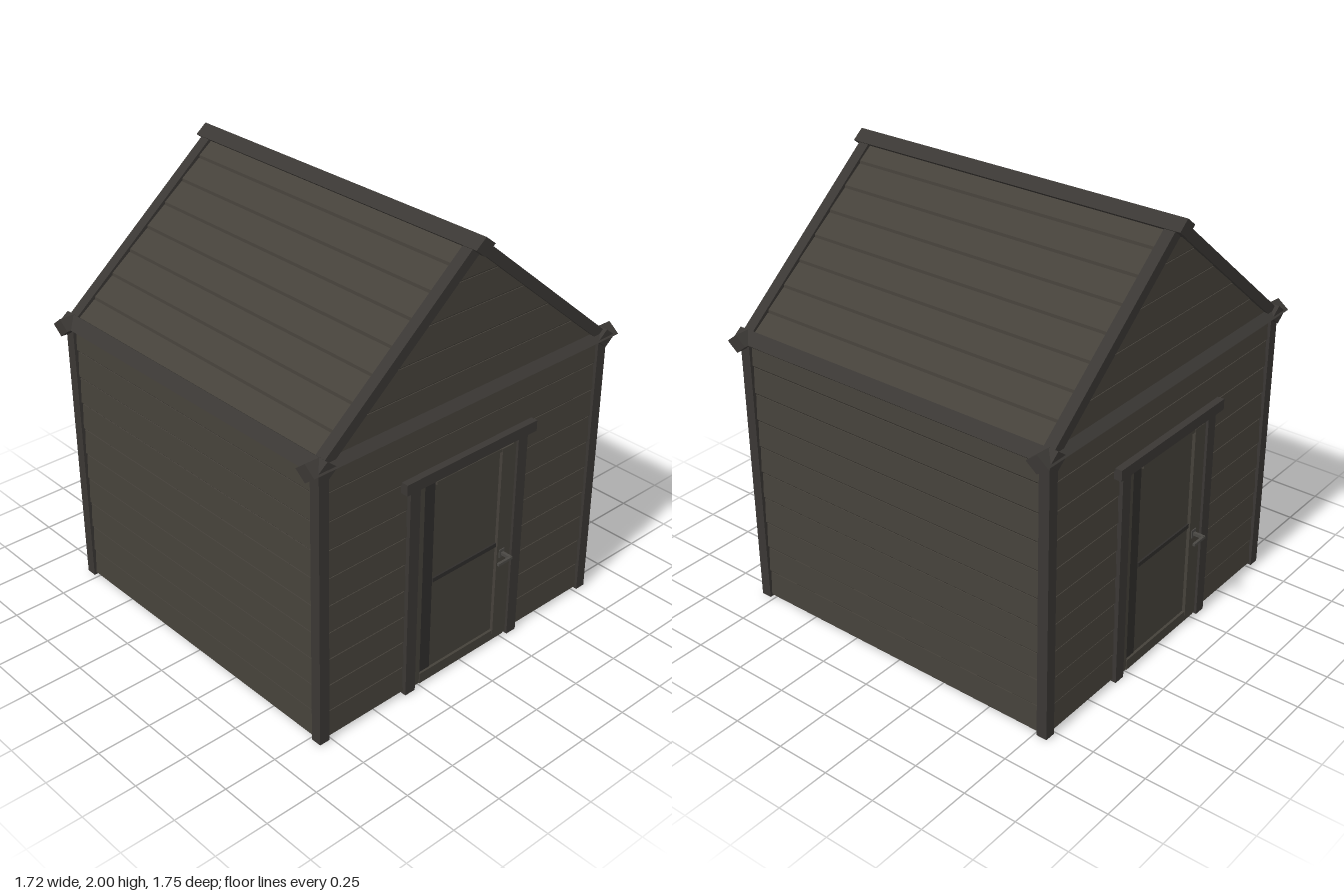
import * as THREE from 'three';

const mat = (color) => new THREE.MeshStandardMaterial({ color, flatShading: true, side: THREE.DoubleSide });
const PLANK = mat(0x45413a), BEAM = mat(0x3a3734), DARK = mat(0x2f2d2b), METAL = mat(0x4a4844);

const S = 0.79;            // half spacing of the corner posts
const EAVE = 1.305, APEX = 1.96;
const STEP = 0.13;         // board height
const RUN = Math.hypot(S, APEX - EAVE);
const SLOPE = Math.atan2(APEX - EAVE, S);

function mesh(parent, name, geometry, material) {
  const m = new THREE.Mesh(geometry, material);
  m.name = name;
  parent.add(m);
  return m;
}

// Box given by its limits
function box(parent, name, x0, x1, y0, y1, z0, z1, material = BEAM) {
  const m = mesh(parent, name, new THREE.BoxGeometry(x1 - x0, y1 - y0, z1 - z0), material);
  m.position.set((x0 + x1) / 2, (y0 + y1) / 2, (z0 + z1) / 2);
  return m;
}

// Lapped board with bevelled lower edge; left(y) and right(y) give its ends
function board(parent, name, y0, y1, left, right) {
  const b = 0.011;
  const shape = new THREE.Shape([
    [-0.004, y0], [0.004, y0], [0.014, y0 + b], [0.008, y1], [-0.008, y1], [-0.014, y0 + b],
  ].map(([u, v]) => new THREE.Vector2(u, v)));
  const g = new THREE.ExtrudeGeometry(shape, { depth: 1, bevelEnabled: false });
  g.rotateY(Math.PI / 2); // length now runs along x from 0 to 1
  const p = g.attributes.position;
  for (let i = 0; i < p.count; i++) {
    const y = p.getY(i);
    p.setX(i, p.getX(i) > 0.5 ? right(y) : left(y));
  }
  g.computeVertexNormals();
  return mesh(parent, name, g, PLANK);
}

// Square beam set on edge, running along x
function diamondBeam(parent, name, half) {
  const w = 0.052, h = 0.041;
  const shape = new THREE.Shape();
  shape.moveTo(w, 0).lineTo(0, h).lineTo(-w, 0).lineTo(0, -h).closePath();
  const g = new THREE.ExtrudeGeometry(shape, { depth: half * 2, bevelEnabled: false });
  g.translate(0, 0, -half).rotateY(Math.PI / 2);
  return mesh(parent, name, g, BEAM);
}

function handle(parent, side) {
  const h = new THREE.Group();
  h.name = 'doorHandle';
  box(h, 'handlePlate', 0.207, 0.238, 0.443, 0.482, 0.013, 0.02, METAL);
  box(h, 'handleStem', 0.216, 0.23, 0.455, 0.469, 0.018, 0.07, METAL);
  box(h, 'handleLever', 0.145, 0.23, 0.456, 0.468, 0.062, 0.074, METAL);
  h.scale.z = side;
  h.position.z = 0.8 - (side < 0 ? 0.02 : 0);
  parent.add(h);
}

function door(parent) {
  const d = new THREE.Group();
  d.name = 'door';
  parent.add(d);
  // Surround
  box(d, 'doorPostRight', -0.34, -0.285, 0, 1.02, 0.765, 0.82);
  box(d, 'doorPostLeft', 0.285, 0.34, 0, 1.02, 0.765, 0.82);
  box(d, 'doorLintel', -0.375, 0.375, 1.015, 1.065, 0.765, 0.836);
  // Jambs
  box(d, 'jambRight', -0.287, -0.248, 0.01, 1.02, 0.77, 0.808, PLANK);
  box(d, 'jambLeft', 0.263, 0.287, 0.01, 1.02, 0.77, 0.808, PLANK);
  box(d, 'jambTop', -0.25, 0.265, 0.99, 1.02, 0.77, 0.808, PLANK);
  // Leaf
  box(d, 'hingeStile', -0.25, -0.185, 0.04, 0.99, 0.775, 0.802, DARK);
  box(d, 'latchStile', 0.195, 0.265, 0.04, 0.99, 0.775, 0.815, PLANK);
  box(d, 'topRail', -0.185, 0.195, 0.975, 0.99, 0.775, 0.812, PLANK);
  box(d, 'middleRail', -0.185, 0.195, 0.5, 0.52, 0.775, 0.808, DARK);
  box(d, 'bottomRail', -0.25, 0.265, 0.01, 0.06, 0.775, 0.812, PLANK);
  box(d, 'upperPanel', -0.186, 0.196, 0.515, 0.978, 0.78, 0.8, PLANK);
  box(d, 'lowerPanel', -0.186, 0.196, 0.055, 0.505, 0.78, 0.8, PLANK);
  handle(d, 1);
  handle(d, -1);
}

function gableEnd() {
  const e = new THREE.Group();
  e.name = 'gableEnd';
  const boards = new THREE.Group();
  boards.name = 'gableBoards';
  boards.position.z = S;
  e.add(boards);
  const half = (y) => Math.min(S, Math.max(0, (APEX - y) * S / (APEX - EAVE)));
  for (let i = 0; i < 15; i++) {
    const y0 = 0.005 + i * STEP, y1 = Math.min(y0 + STEP, APEX);
    if (i < 8) { // beside the doorway
      board(boards, 'wallBoard', y0, y1, () => -S, () => -0.31);
      board(boards, 'wallBoard', y0, y1, () => 0.31, () => S);
    } else board(boards, 'wallBoard', y0, y1, (y) => -half(y), half);
  }
  // Corner posts and sloping rafters
  for (const s of [-1, 1]) {
    box(e, 'cornerPost', s * S - 0.025, s * S + 0.025, 0.005, EAVE, S - 0.025, S + 0.025);
    const r = mesh(e, 'rafter', new THREE.BoxGeometry(RUN, 0.048, 0.052), BEAM);
    r.position.set(s * S / 2, (EAVE + APEX) / 2, S);
    r.rotation.z = -s * SLOPE;
  }
  diamondBeam(e, 'tieBeam', 0.86).position.set(0, 1.302, S);
  door(e);
  return e;
}

function sideWall() {
  const w = new THREE.Group();
  w.name = 'sideWall';
  w.position.x = S;
  w.rotation.y = Math.PI / 2;
  for (let i = 0; i < 10; i++) {
    board(w, 'wallBoard', 0.005 + i * STEP, 0.005 + (i + 1) * STEP, () => -S, () => S);
  }
  diamondBeam(w, 'eaveBeam', 0.835).position.y = 1.302;
  // Roof slope leans back from the eave
  const roof = new THREE.Group();
  roof.name = 'roofSlope';
  roof.position.y = EAVE;
  roof.rotation.x = SLOPE - Math.PI / 2;
  for (let i = 0; i < 8; i++) {
    board(roof, 'roofBoard', i * RUN / 8, (i + 1) * RUN / 8, () => -S, () => S);
  }
  w.add(roof);
  return w;
}

export function createModel() {
  const shed = new THREE.Group();
  shed.name = 'shed';
  // Both halves are the same, turned about the vertical axis
  for (let i = 0; i < 2; i++) {
    const half = new THREE.Group();
    half.name = i ? 'backHalf' : 'frontHalf';
    half.rotation.y = i * Math.PI;
    half.add(gableEnd(), sideWall());
    shed.add(half);
  }
  const ridge = diamondBeam(shed, 'ridgeBeam', 0.842);
  ridge.position.y = APEX - 0.001;
  ridge.rotation.y = Math.PI / 2;
  return shed;
}
